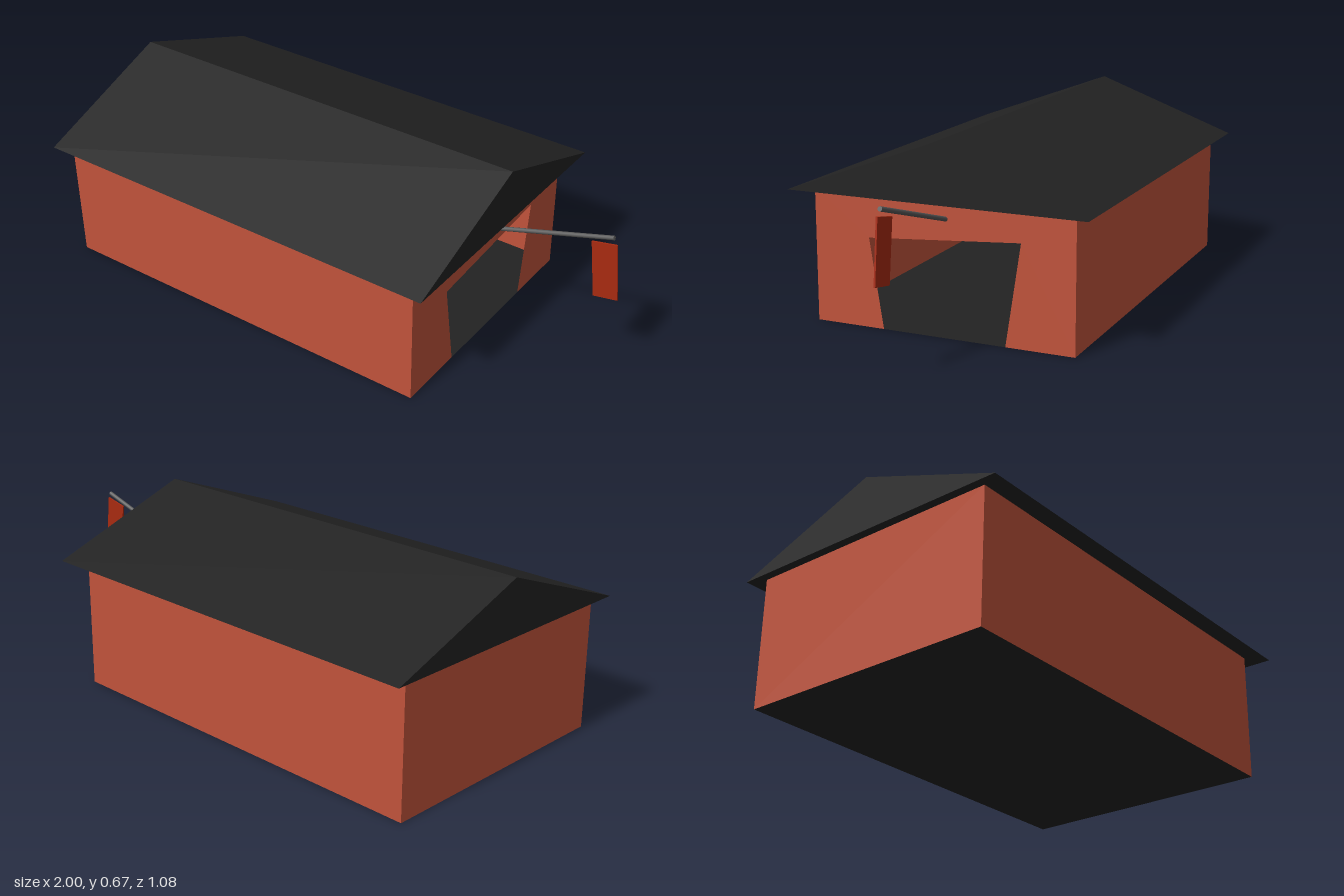
import * as THREE from 'three';

const mat = (name, color) => {
  const m = new THREE.MeshStandardMaterial({ color, side: THREE.DoubleSide });
  m.name = name;
  return m;
};

export function createModel() {
  const group = new THREE.Group();
  const brick = mat('brick red', 0xc1533b);
  const black = mat('roof black', 0x222222);
  const steel = mat('pole grey', 0x585858);
  const red = mat('flag red', 0xa82a10);

  const add = (name, geometry, material, x = 0, y = 0, z = 0) => {
    const mesh = new THREE.Mesh(geometry, material);
    mesh.name = name;
    mesh.position.set(x, y, z);
    group.add(mesh);
    return mesh;
  };
  const polygon = (points) => new THREE.Shape(points.map(([x, y]) => new THREE.Vector2(x, y)));

  // Hall dimensions
  const x0 = -0.97, x1 = 0.52, halfZ = 0.475, eaves = 0.47;
  const length = x1 - x0, midX = (x0 + x1) / 2;

  // Thin side and end walls
  for (const side of [1, -1]) {
    const wall = add(side > 0 ? 'frontWall' : 'backWall',
      new THREE.PlaneGeometry(length, eaves), brick, midX, eaves / 2, side * halfZ);
    if (side < 0) wall.rotation.y = Math.PI;
  }
  add('endWall', new THREE.PlaneGeometry(2 * halfZ, eaves), brick, x0, eaves / 2, 0).rotation.y = -Math.PI / 2;

  // Entrance wall, with a crooked doorway open to the ground
  const entrance = polygon([
    [-halfZ, 0], [-0.22, 0], [-0.27, 0.315], [0.285, 0.357], [0.23, 0],
    [halfZ, 0], [halfZ, eaves], [-halfZ, eaves],
  ]);
  add('entranceWall', new THREE.ShapeGeometry(entrance), brick, x1, 0, 0).rotation.y = Math.PI / 2;

  // Floor and ceiling
  add('floor', new THREE.PlaneGeometry(length, 2 * halfZ), black, midX, 0, 0).rotation.x = -Math.PI / 2;
  add('ceiling', new THREE.PlaneGeometry(length, 2 * halfZ), brick, midX, eaves - 0.003, 0).rotation.x = Math.PI / 2;

  // Solid gable roof with overhanging eaves
  const gable = polygon([[-0.54, 0], [0.54, 0], [0, 0.2]]);
  const roof = new THREE.ExtrudeGeometry(gable, { depth: 1.59, bevelEnabled: false });
  add('roof', roof, black, -1, eaves, 0).rotation.y = Math.PI / 2;

  // Slanted flagpole above the doorway
  const foot = new THREE.Vector3(0.51, 0.406, -0.017);
  const tip = new THREE.Vector3(0.96, 0.543, -0.023);
  const direction = tip.clone().sub(foot);
  const pole = add('flagpole', new THREE.CylinderGeometry(0.008, 0.008, direction.length(), 8), steel);
  pole.position.copy(foot).lerp(tip, 0.5);
  pole.quaternion.setFromUnitVectors(new THREE.Vector3(0, 1, 0), direction.normalize());

  // Hanging flag
  const flag = polygon([[0.91, 0.293], [0.998, 0.31], [0.975, 0.522], [0.885, 0.503]]);
  add('flag', new THREE.ExtrudeGeometry(flag, { depth: 0.006, bevelEnabled: false }), red, 0, 0, -0.023);

  return group;
}
